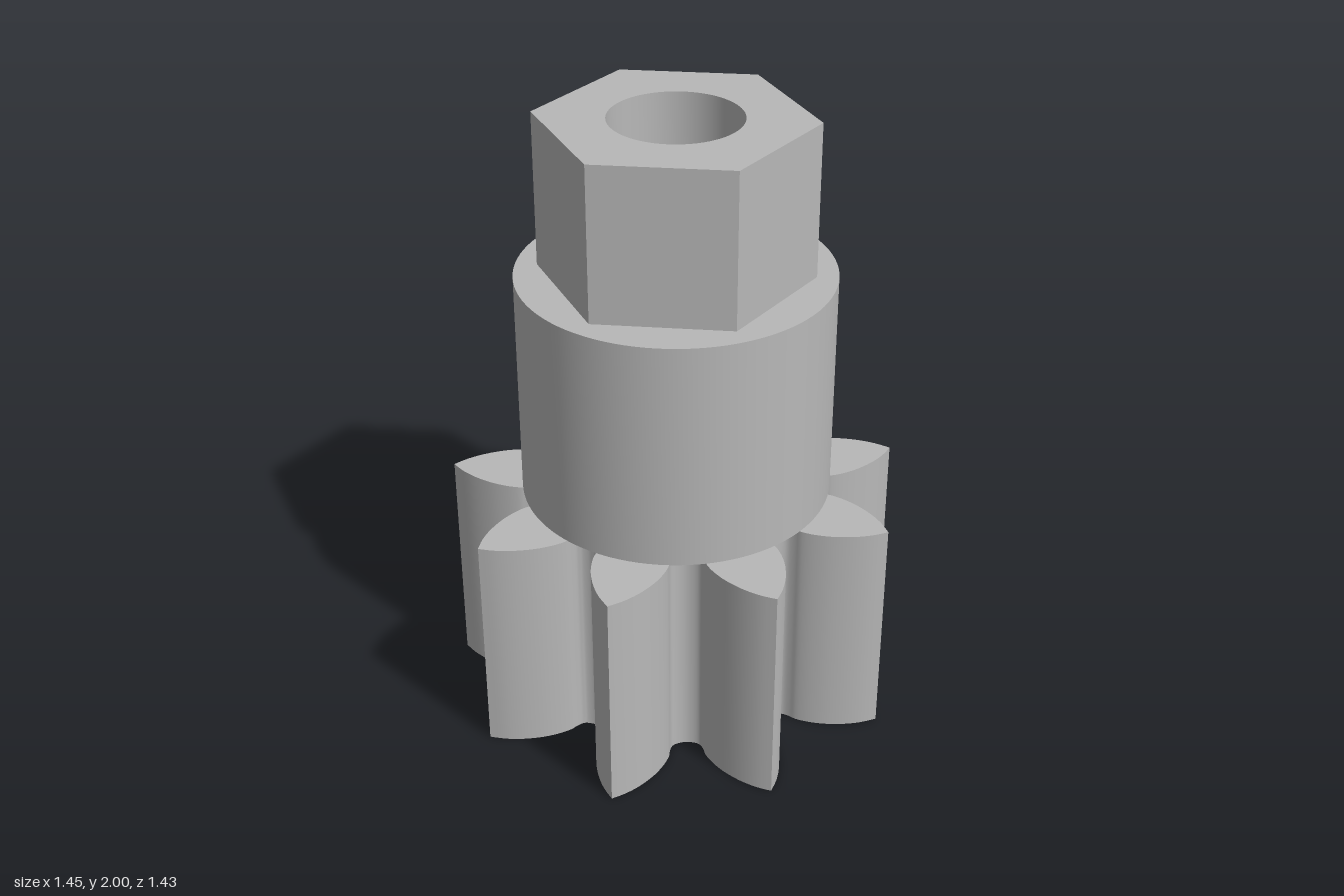
import * as THREE from 'three';
import { toCreasedNormals } from 'three/addons/utils/BufferGeometryUtils.js';

const TEETH = 9;
const BORE = 0.207;
const TIP = 0.737;

// Half of one tooth, tip to root: [radius, degrees from the tooth axis]
const FLANK = [
  [TIP, 0], [0.7, 3.1], [0.654, 6.3], [0.6, 9.5], [0.55, 11.9],
  [0.51, 13.3], [0.485, 13.5], [0.46, 14.3], [0.446, 16.6], [0.44, 20],
];

const polar = (r, deg) => {
  const a = THREE.MathUtils.degToRad(deg);
  return new THREE.Vector2(r * Math.cos(a), r * Math.sin(a));
};

// Gear outline: one smooth curve from each tip through the gap to the next tip
function gearOutline() {
  const pitch = 360 / TEETH;
  const points = [];
  for (let i = 0; i < TEETH; i++) {
    const start = -90 + i * pitch;
    const down = FLANK.map(([r, a]) => polar(r, start + a));
    const up = FLANK.slice(0, -1).reverse().map(([r, a]) => polar(r, start + pitch - a));
    points.push(...new THREE.SplineCurve([...down, ...up]).getPoints(54).slice(0, -1));
  }
  return new THREE.Shape(points);
}

function circleOutline(radius) {
  const shape = new THREE.Shape();
  shape.absarc(0, 0, radius, 0, Math.PI * 2);
  return shape;
}

function hexOutline(radius) {
  return new THREE.Shape(Array.from({ length: 6 }, (_, i) => polar(radius, 30 + i * 60)));
}

export function createModel() {
  const model = new THREE.Group();
  model.name = 'pinionGear';
  const metal = new THREE.MeshStandardMaterial({ color: 0xb8b8b8 });
  metal.name = 'grey metal';

  // Every section is an upright extrusion with the same bore through it
  const addSection = (name, shape, bottom, top) => {
    const bore = new THREE.Path();
    bore.absarc(0, 0, BORE, 0, Math.PI * 2, true);
    shape.holes.push(bore);
    const geometry = new THREE.ExtrudeGeometry(shape, {
      depth: top - bottom, bevelEnabled: false, curveSegments: 48,
    });
    geometry.rotateX(-Math.PI / 2);
    // An odd tooth count puts the axis slightly behind the centre
    const axisZ = -TIP * (1 - Math.cos(Math.PI / TEETH)) / 2;
    geometry.translate(0, bottom, axisZ);
    const mesh = new THREE.Mesh(toCreasedNormals(geometry, 0.6), metal);
    mesh.name = name;
    model.add(mesh);
  };

  addSection('toothedGear', gearOutline(), 0, 0.75);
  addSection('roundCollar', circleOutline(0.5), 0.75, 1.5);
  addSection('hexagonalHead', hexOutline(0.432), 1.5, 2);

  return model;
}
